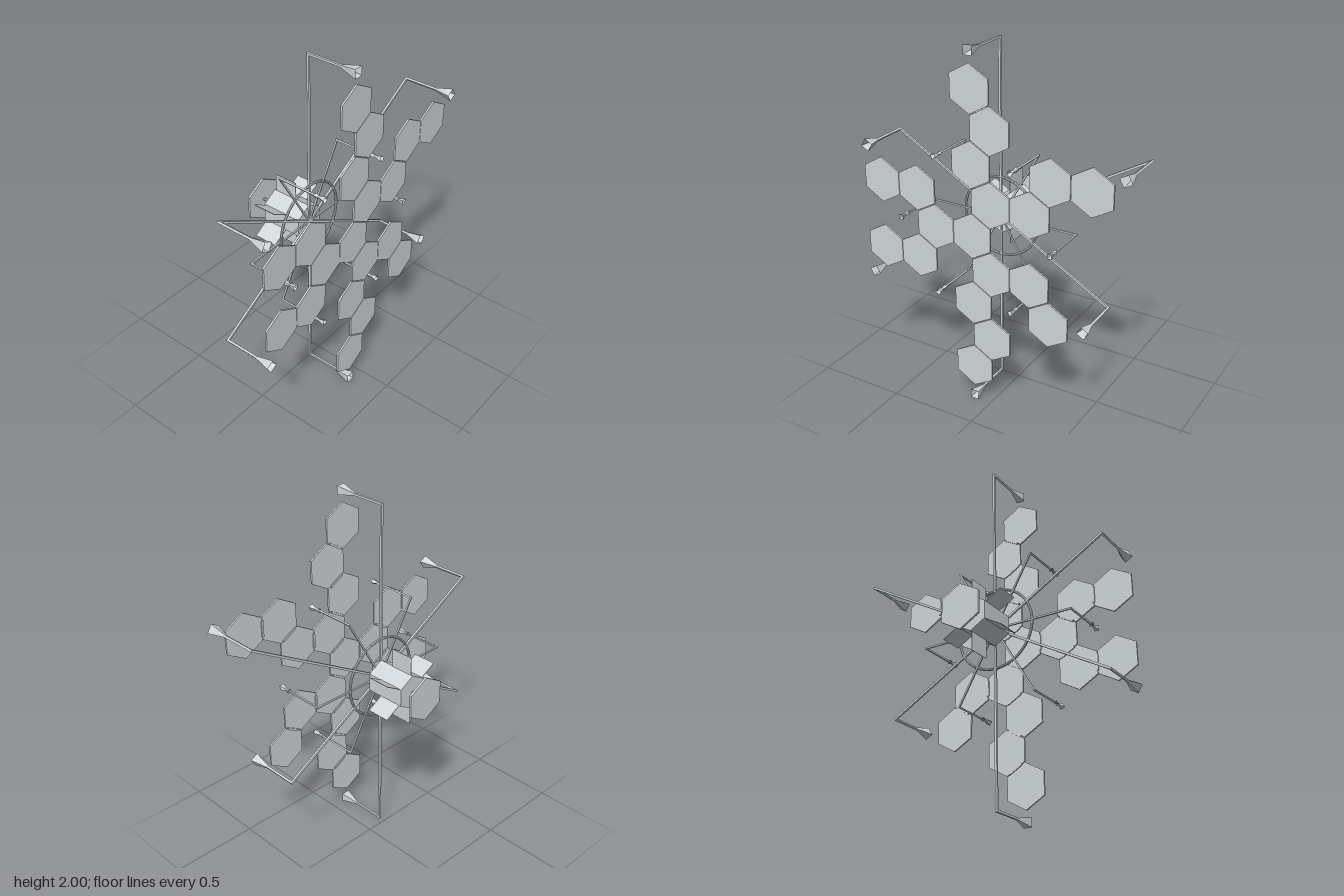
import * as THREE from 'three';

const grey = new THREE.MeshStandardMaterial({ color: 0xd0d6d9 });
grey.name = 'paleGrey';
grey.flatShading = true;
grey.side = THREE.DoubleSide;

const CX = -0.098, CY = 1.0;          // hub axis
const DX = 0.1125, DY = 0.196;        // half-column and row spacing of the hex grid

function mesh(name, geometry, parent, x = 0, y = 0, z = 0) {
  const m = new THREE.Mesh(geometry, grey);
  m.name = name;
  m.position.set(x, y, z);
  parent.add(m);
  return m;
}

// Pointy-topped hexagonal prism along z
const hexPrism = (r, depth) => new THREE.CylinderGeometry(r, r, depth, 6).rotateX(Math.PI / 2);

// Four-sided open flare along z from rows of [z, width]
function hornGeometry(rows) {
  const points = rows.map(([z, w]) => new THREE.Vector2(w / Math.SQRT2, z));
  return new THREE.LatheGeometry(points, 4, Math.PI / 4).rotateX(Math.PI / 2);
}

// Radial rod that bends forward and ends in a square horn
function antenna(name, parent, angle, reach, thick, bendZ, hornRows) {
  const arm = new THREE.Group();
  arm.name = name;
  arm.rotation.z = angle;
  parent.add(arm);
  const backZ = 0.018;
  mesh('radialRod', new THREE.BoxGeometry(reach + thick / 2, thick, thick), arm, (reach + thick / 2) / 2, 0, backZ);
  mesh('forwardRod', new THREE.BoxGeometry(thick, thick, bendZ - backZ), arm, reach, 0, (bendZ + backZ) / 2);
  mesh('horn', hornGeometry(hornRows), arm, reach, 0, 0);
}

export function createModel() {
  const model = new THREE.Group();
  model.name = 'hexPanelStation';
  const hub = new THREE.Group();
  hub.name = 'hub';
  hub.position.set(CX, CY, 0);
  model.add(hub);

  // Central body, rear mast and rear plate
  mesh('body', hexPrism(0.1, 0.233), hub, 0, 0, -0.101);
  mesh('rearMast', new THREE.CylinderGeometry(0.008, 0.008, 0.1, 8).rotateX(Math.PI / 2), hub, 0, 0, -0.258);
  mesh('rearPlate', hexPrism(0.128, 0.012), hub, 0, 0, -0.307);

  // Radiator fins on the six body edges
  for (let i = 0; i < 6; i++) {
    const a = Math.PI / 6 + i * Math.PI / 3;
    const fin = mesh('radiatorFin', new THREE.BoxGeometry(0.106, 0.003, 0.134), hub,
      0.149 * Math.cos(a), 0.149 * Math.sin(a), -0.139);
    fin.rotation.z = a;
  }

  // Ring carrying the antenna arms
  mesh('ring', new THREE.TorusGeometry(0.226, 0.0075, 8, 48), hub, 0, 0, 0.018);

  // Long arms: [angle in degrees, reach]
  const largeHorn = [[0.212, 0.012], [0.312, 0.05]];
  for (const [deg, reach] of [[90, 0.975], [270, 0.975], [30, 0.975], [150, 0.75], [210, 0.75], [330, 0.75]])
    antenna('longArm', hub, THREE.MathUtils.degToRad(deg), reach, 0.012, 0.215, largeHorn);

  // Short arms with small hourglass horns
  const smallHorn = [[0.242, 0.02], [0.267, 0.009], [0.305, 0.027]];
  for (let i = 0; i < 6; i++)
    antenna('shortArm', hub, i * Math.PI / 3, 0.453, 0.009, 0.245, smallHorn);

  // Front panels: [half-columns, row] on the hex grid
  const cells = [
    [0, 4], [1, 3], [0, 2], [1, 1], [0, 0], [-2, 0],
    [3, 1], [4, 2], [6, 2], [-5, 1], [-3, 1],
    [-5, -1], [-3, -1], [1, -1], [3, -1], [4, -2],
    [0, -2], [1, -3], [0, -4],
  ];
  const panels = new THREE.Group();
  panels.name = 'panelArray';
  panels.position.set(CX, CY, 0);
  model.add(panels);
  const panelGeometry = hexPrism(0.128, 0.01);
  for (const [c, r] of cells) mesh('hexPanel', panelGeometry, panels, c * DX, r * DY, 0.302);

  // Hinge strip behind each edge shared by two neighbours
  const hingeGeometry = new THREE.BoxGeometry(0.012, 0.09, 0.006);
  cells.forEach(([c, r], i) => {
    for (const [c2, r2] of cells.slice(i + 1)) {
      const dx = (c2 - c) * DX, dy = (r2 - r) * DY;
      if (Math.hypot(dx, dy) > 0.24) continue;
      const hinge = mesh('hinge', hingeGeometry, panels, c * DX + dx / 2, r * DY + dy / 2, 0.294);
      hinge.rotation.z = Math.atan2(dy, dx);
    }
  });

  return model;
}
